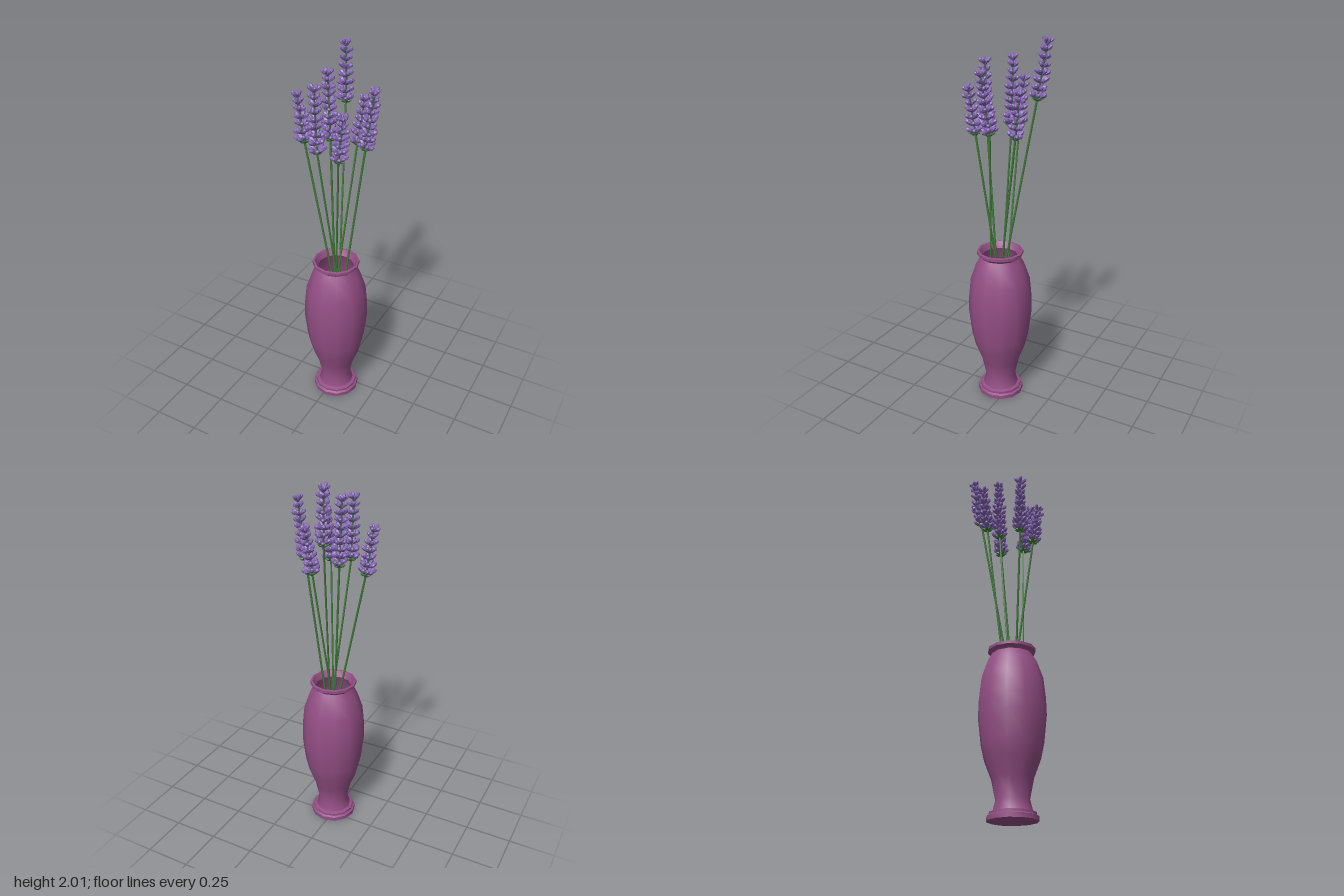
import * as THREE from 'three';
import { mergeGeometries, toCreasedNormals } from 'three/addons/utils/BufferGeometryUtils.js';

const UP = new THREE.Vector3(0, 1, 0);
const V = (a) => new THREE.Vector3(...a);
const lathe = (profile, sides) =>
  new THREE.LatheGeometry(profile.map((p) => new THREE.Vector2(...p)), sides);

// small seeded random source
function seeded(seed) {
  return () => {
    seed = (seed * 16807) % 2147483647;
    return seed / 2147483647;
  };
}

// faceted copy of a geometry
function faceted(geometry) {
  const g = geometry.toNonIndexed();
  g.computeVertexNormals();
  return g;
}

// copy of a geometry placed at a point, its y axis turned to a direction
function placed(geometry, point, direction, scale) {
  const q = new THREE.Quaternion().setFromUnitVectors(UP, direction.clone().normalize());
  const m = new THREE.Matrix4().compose(point, q, new THREE.Vector3(scale, scale, scale));
  return geometry.clone().applyMatrix4(m);
}

// stem foot at y 0.3, head base, head tip
const SPRIGS = [
  [[0.07, 0.3, 0.02], [-0.168, 1.52, 0.035], [-0.203, 1.74, 0.032]],
  [[0.05, 0.3, 0.10], [-0.027, 1.70, -0.135], [-0.048, 1.96, -0.172]],
  [[-0.01, 0.3, 0.11], [0.073, 1.52, -0.07], [0.09, 1.73, -0.10]],
  [[0.03, 0.3, 0.06], [-0.035, 1.55, 0.01], [-0.048, 1.87, 0.01]],
  [[0.03, 0.3, 0.10], [0.163, 1.55, 0.022], [0.21, 1.83, 0.04]],
  [[0.07, 0.3, 0.01], [-0.03, 1.54, 0.15], [-0.036, 1.84, 0.16]],
  [[-0.01, 0.3, 0.01], [0.085, 1.52, 0.15], [0.115, 1.73, 0.165]],
];

export function createModel() {
  const group = new THREE.Group();
  const vaseMat = new THREE.MeshStandardMaterial({ color: 0x944f85 });
  const greenMat = new THREE.MeshStandardMaterial({ color: 0x3f7a38 });
  const flowerMat = new THREE.MeshStandardMaterial({ color: 0x8365b0 });
  vaseMat.name = 'plum glaze';
  greenMat.name = 'stem green';
  flowerMat.name = 'lavender';

  const add = (parent, name, geometry, material) => {
    const mesh = new THREE.Mesh(geometry, material);
    mesh.name = name;
    parent.add(mesh);
  };

  // vase: outside from the foot up, over the lip, down the inside
  const vase = lathe([
    [0, 0], [0.127, 0], [0.127, 0.022], [0.116, 0.028], [0.116, 0.04], [0.098, 0.045],
    [0.084, 0.10], [0.105, 0.20], [0.14, 0.29], [0.158, 0.37], [0.174, 0.51], [0.172, 0.60],
    [0.161, 0.71], [0.13, 0.80], [0.106, 0.843], [0.112, 0.852], [0.125, 0.86], [0.125, 0.875],
    [0.114, 0.878], [0.096, 0.845], [0.115, 0.80], [0.145, 0.70], [0.158, 0.52], [0.125, 0.29],
    [0.09, 0.20], [0.07, 0.11], [0, 0.10],
  ], 12);
  vase.translate(0.018, 0, 0.049);
  add(group, 'vase', toCreasedNormals(vase, 0.7), vaseMat);

  // bud: slim at the base, full near a blunt tip
  const bud = faceted(lathe([[0, 0], [0.004, 0.003], [0.0095, 0.022], [0.010, 0.034], [0.005, 0.042], [0, 0.043]], 6));
  // green bract under the head
  const bract = faceted(lathe([[0, 0], [0.008, 0.008], [0.009, 0.018], [0, 0.036]], 5));
  const rand = seeded(71);

  SPRIGS.forEach(([foot, base, tip], i) => {
    const sprig = new THREE.Group();
    sprig.name = 'lavenderSprig' + (i + 1);
    group.add(sprig);
    const [f, b, t] = [V(foot), V(base), V(tip)];
    const axis = t.clone().sub(b);
    const tilt = new THREE.Quaternion().setFromUnitVectors(UP, axis.clone().normalize());

    // stem runs on through the head
    const straight = new THREE.TubeGeometry(new THREE.LineCurve3(f, b), 1, 0.0055, 6);
    const core = new THREE.TubeGeometry(new THREE.LineCurve3(b, t), 1, 0.005, 6);
    add(sprig, 'stem', mergeGeometries([straight, core]), greenMat);

    // direction leaning out from the head axis
    const lean = (angle, rise) =>
      V([Math.cos(angle) * Math.cos(rise), Math.sin(rise), Math.sin(angle) * Math.cos(rise)])
        .applyQuaternion(tilt);

    const bracts = [];
    for (let k = 0; k < 7; k++) {
      bracts.push(placed(bract, b, lean((k / 7) * Math.PI * 2, 0.35), 1));
    }
    add(sprig, 'bracts', mergeGeometries(bracts), greenMat);

    // whorls of buds, looser and smaller toward the tip
    const buds = [];
    const rows = Math.round(axis.length() / 0.036);
    for (let r = 0; r <= rows; r++) {
      const s = r / rows;
      const count = Math.round(8 - 3 * s);
      const centre = b.clone().addScaledVector(axis, s);
      centre.y += 0.006;
      for (let k = 0; k < count; k++) {
        const angle = ((k + rand() * 0.5) / count) * Math.PI * 2 + r * 0.7;
        const dir = lean(angle, 0.42 + 0.25 * s + rand() * 0.4);
        buds.push(placed(bud, centre.clone().addScaledVector(dir, 0.003), dir, (1.12 - 0.25 * s) * (0.9 + rand() * 0.25)));
      }
    }
    // splayed buds at the tip
    for (let k = 0; k < 3; k++) {
      buds.push(placed(bud, t, lean(k * 2.1 + i, 1.05), 0.85));
    }
    add(sprig, 'flowerHead', mergeGeometries(buds), flowerMat);
  });

  return group;
}
